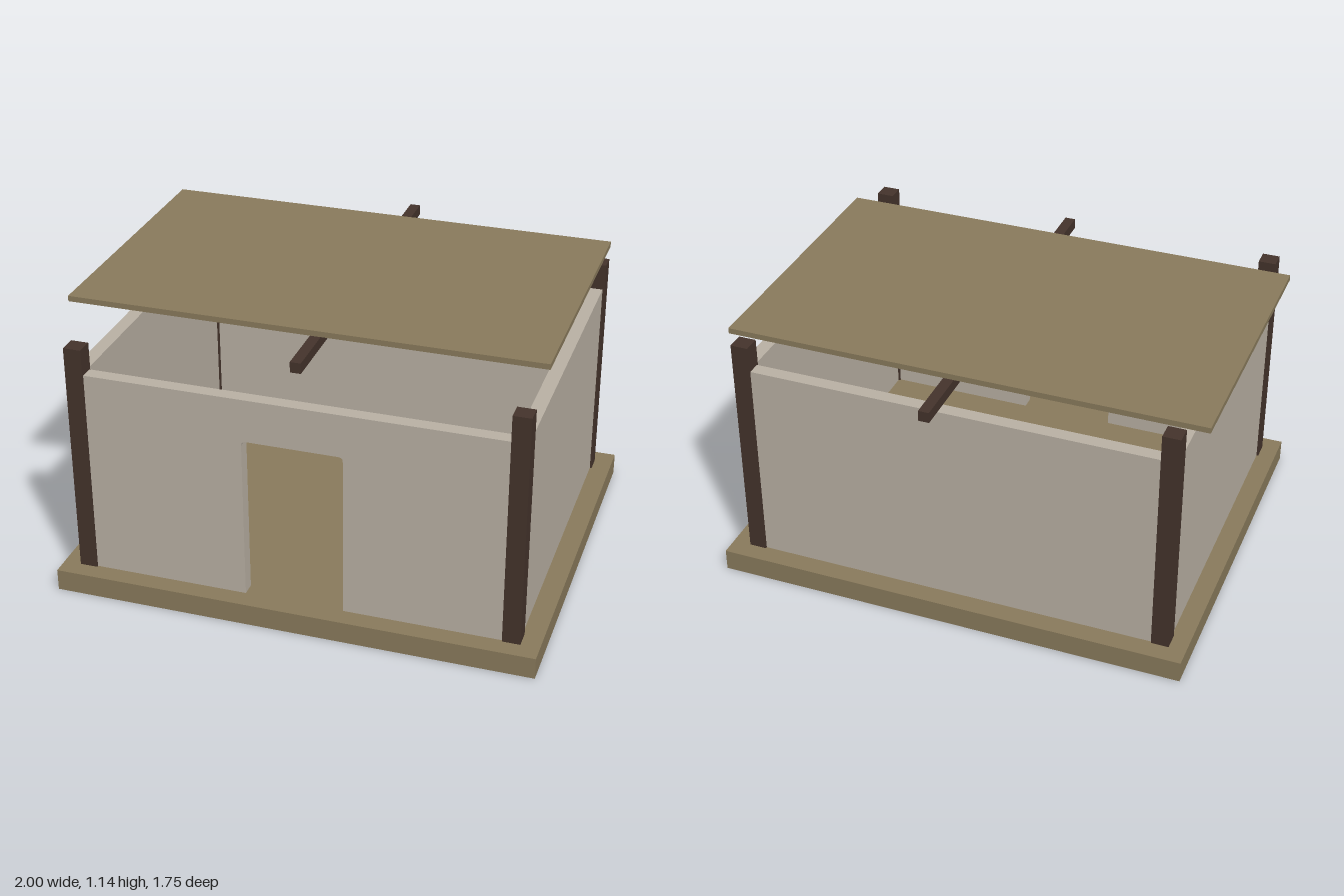
import * as THREE from 'three';

const clay = new THREE.MeshStandardMaterial({ color: 0xbcb3a6 });
clay.name = 'clay';
const thatch = new THREE.MeshStandardMaterial({ color: 0x8b7c5d });
thatch.name = 'thatch';
const timber = new THREE.MeshStandardMaterial({ color: 0x45342c });
timber.name = 'darkTimber';

// Box given by its [min, max] range on each axis
function block(name, material, x, y, z) {
  const mesh = new THREE.Mesh(
    new THREE.BoxGeometry(x[1] - x[0], y[1] - y[0], z[1] - z[0]), material);
  mesh.position.set((x[0] + x[1]) / 2, (y[0] + y[1]) / 2, (z[0] + z[1]) / 2);
  mesh.name = name;
  return mesh;
}

export function createModel() {
  const model = new THREE.Group();
  model.name = 'hut';

  const floorY = 0.09, wallTop = 0.955, postTop = 1.065;
  const postX = { Right: -0.858, Left: 0.888 };
  const postZ = { Front: 0.765, Back: -0.617 };
  const post = 0.036, wall = 0.028; // half thicknesses

  // Base slab
  model.add(block('base', thatch, [-0.965, 1], [0, floorY], [-0.728, 0.872]));

  // Corner posts
  for (const [side, x] of Object.entries(postX)) {
    for (const [end, z] of Object.entries(postZ)) {
      model.add(block('post' + end + side, timber,
        [x - post, x + post], [floorY, postTop], [z - post, z + post]));
    }
  }

  // Side walls between the posts
  for (const [side, x] of Object.entries(postX)) {
    model.add(block('wall' + side, clay, [x - wall, x + wall],
      [floorY, wallTop], [postZ.Back + post, postZ.Front - post]));
  }

  // Back wall
  const x0 = postX.Right + post, x1 = postX.Left - post;
  model.add(block('wallBack', clay, [x0, x1], [floorY, wallTop],
    [postZ.Back - wall, postZ.Back + wall]));

  // Front wall with a doorway whose top corners are slightly eased
  const d0 = -0.185, d1 = 0.218, doorTop = 0.777, r = 0.018;
  const shape = new THREE.Shape();
  shape.moveTo(x0, floorY);
  shape.lineTo(d0, floorY);
  shape.lineTo(d0, doorTop - r);
  shape.quadraticCurveTo(d0, doorTop, d0 + r, doorTop);
  shape.lineTo(d1 - r, doorTop);
  shape.quadraticCurveTo(d1, doorTop, d1, doorTop - r);
  shape.lineTo(d1, floorY);
  shape.lineTo(x1, floorY);
  shape.lineTo(x1, wallTop);
  shape.lineTo(x0, wallTop);
  shape.closePath();
  const front = new THREE.Mesh(new THREE.ExtrudeGeometry(shape,
    { depth: wall * 2, bevelEnabled: false, curveSegments: 3 }), clay);
  front.position.z = postZ.Front - wall;
  front.name = 'wallFront';
  model.add(front);

  // Ridge beam and the flat roof panel above it
  model.add(block('ridgeBeam', timber, [-0.007, 0.036], [1.067, 1.11], [-0.875, 0.73]));
  model.add(block('roof', thatch, [-1, 0.925], [1.121, 1.144], [-0.654, 0.521]));

  return model;
}
